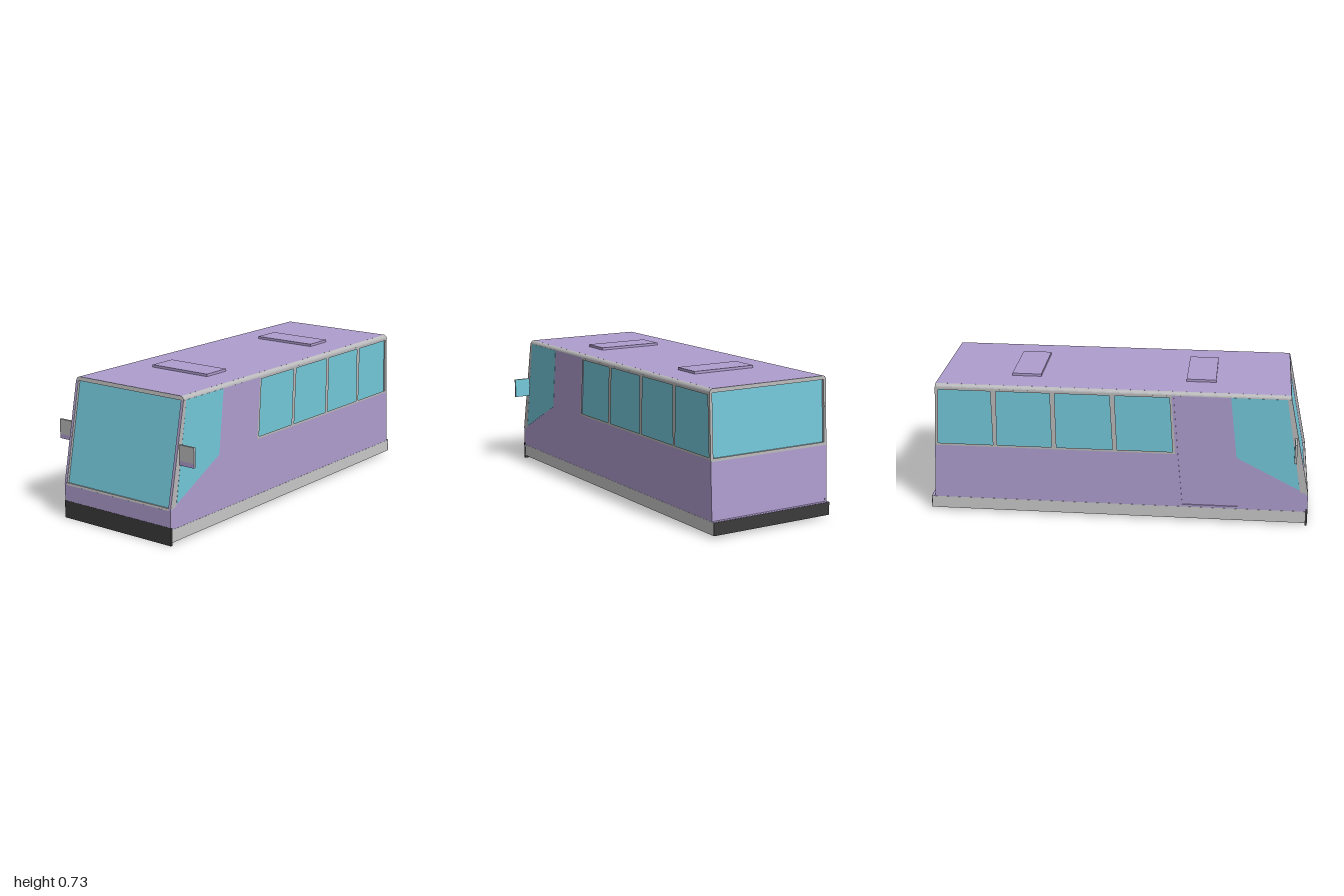
import * as THREE from 'three';

const mat = (name, color, side = THREE.FrontSide) => {
  const m = new THREE.MeshStandardMaterial({ color, side });
  m.name = name;
  return m;
};

export function createModel() {
  const purple = mat('purple paint', 0xae9dce);
  const glass = mat('cyan glass', 0x74c8da);
  const frameGrey = mat('frame grey', 0xb9b9bb);
  const sillGrey = mat('sill grey', 0xc8c8c8);
  const dark = mat('bumper black', 0x3b3b3b);
  const floorGrey = mat('front floor grey', 0xaaaeb0);

  const bus = new THREE.Group();
  bus.name = 'bus';
  const W = 0.35, T = 0.012, TOP = 0.72;

  const add = (name, geo, material, parent = bus) => {
    const m = new THREE.Mesh(geo, material);
    m.name = name;
    parent.add(m);
    return m;
  };
  // Box given by its limits on each axis
  const box = (name, x0, x1, y0, y1, z0, z1, material, parent) => {
    const m = add(name, new THREE.BoxGeometry(x1 - x0, y1 - y0, z1 - z0), material, parent);
    m.position.set((x0 + x1) / 2, (y0 + y1) / 2, (z0 + z1) / 2);
    return m;
  };
  const poly = (pts, holes = []) => {
    const s = new THREE.Shape(pts.map(p => new THREE.Vector2(...p)));
    for (const h of holes) s.holes.push(new THREE.Path(h.map(p => new THREE.Vector2(...p))));
    return s;
  };
  const extrude = (shape, depth) =>
    new THREE.ExtrudeGeometry(shape, { depth, bevelEnabled: false, curveSegments: 6 });
  // Plate drawn in (z, y), filling x from x0 to x1
  const sidePlate = (name, shape, x0, x1, material) => {
    const g = extrude(shape, x1 - x0);
    g.rotateY(-Math.PI / 2);
    g.translate(x1, 0, 0);
    return add(name, g, material);
  };

  // Glazed inner body, showing through every window opening
  sidePlate('windowGlass', poly([[0.985, 0.08], [0.985, 0.18], [0.878, 0.709], [-0.938, 0.709], [-0.967, 0.08]]),
    -W + T, W - T, glass);

  // Side walls
  const windows = [
    [[0.29, 0.39], [0, 0.39], [-0.013, 0.69], [0.27, 0.69]],
    [[-0.024, 0.39], [-0.319, 0.39], [-0.324, 0.69], [-0.04, 0.69]],
    [[-0.345, 0.39], [-0.635, 0.39], [-0.63, 0.69], [-0.35, 0.69]],
    [[-0.656, 0.39], [-0.95, 0.39], [-0.935, 0.69], [-0.66, 0.69]],
  ];
  const band = poly([[0.305, 0.378], [-0.966, 0.378], [-0.951, 0.701], [0.28, 0.701]], windows);
  const wall = [[1, 0.08], [1, 0.18], [0.894, 0.701], [0.28, 0.701], [0.305, 0.378], [-0.966, 0.378], [-0.98, 0.08]];
  const door = [[0.345, 0.092], [0.64, 0.092], [0.608, 0.37], [0.575, 0.69], [0.292, 0.69], [0.318, 0.37]];
  const cabGlass = poly([[0.955, 0.2], [0.872, 0.701], [0.585, 0.701], [0.622, 0.372]]);
  const pillar = poly([[1, 0.18], [0.894, 0.701], [0.872, 0.701], [0.958, 0.19]]);
  for (const s of [1, -1]) {
    const side = s > 0 ? 'left' : 'right';
    const plate = (name, shape, inner, outer, material) =>
      sidePlate(side + name, shape, s > 0 ? inner : -outer, s > 0 ? outer : -inner, material);
    plate('Wall', poly(wall, s < 0 ? [door] : []), W - T, W, purple);
    plate('WindowFrame', band, W - T, W, frameGrey);
    plate('CabWindow', cabGlass, W - 0.002, W + 0.001, glass);
    plate('FrontPillar', pillar, W - 0.002, W + 0.001, frameGrey);
    if (s < 0) plate('Door', poly(door), W - T - 0.002, W - 0.006, purple);

    // Rounded roof rail
    const rail = new THREE.Shape();
    rail.moveTo(0.33, 0.7);
    rail.lineTo(W, 0.7);
    rail.absarc(0.33, 0.7, 0.02, 0, Math.PI / 2, false);
    rail.lineTo(0.33, 0.7);
    const railGeo = extrude(rail, 1.84);
    if (s < 0) {
      railGeo.rotateY(Math.PI);
      railGeo.translate(0, 0, 0.89);
    } else railGeo.translate(0, 0, -0.95);
    add(side + 'RoofRail', railGeo, frameGrey);

    // Wing mirror: grey shell, purple lower lip, glass facing back
    const mirror = new THREE.Group();
    mirror.name = side + 'Mirror';
    const x0 = s > 0 ? W - 0.005 : -0.44, x1 = s > 0 ? 0.44 : -W + 0.005;
    const faces = front => [frameGrey, frameGrey, frameGrey, purple, front, glass];
    box('mirrorShell', x0, x1, 0.413, 0.492, 0.918, 0.93, faces(frameGrey), mirror);
    box('mirrorLip', x0, x1, 0.39, 0.413, 0.918, 0.93, faces(purple), mirror);
    bus.add(mirror);
  }

  // Roof and its two hatches
  box('roof', -0.332, 0.332, TOP - T, TOP, -0.948, 0.888, purple);
  for (const z of [0.425, -0.495])
    box('roofHatch', -0.18, 0.18, TOP - 0.002, 0.733, z - 0.077, z + 0.077, purple);

  // Leaning end frame with rounded top corners and one window opening
  const endFrame = (name, y0, z0, z1, border) => {
    const rise = TOP - y0, lean = Math.abs(z0 - z1), len = Math.hypot(rise, lean), r = 0.02;
    const s = new THREE.Shape();
    s.moveTo(-W, 0);
    s.lineTo(W, 0);
    s.lineTo(W, len - r);
    s.absarc(W - r, len - r, r, 0, Math.PI / 2, false);
    s.absarc(-W + r, len - r, r, Math.PI / 2, Math.PI, false);
    const h = [[-0.335, border], [0.335, border], [0.335, len - r], [-0.335, len - r]];
    s.holes.push(new THREE.Path(h.map(p => new THREE.Vector2(...p))));
    const g = extrude(s, T);
    g.translate(0, 0, -T);
    g.rotateX(-Math.atan2(lean, rise));
    g.translate(0, y0, Math.abs(z0));
    if (z0 < 0) g.rotateY(Math.PI);
    add(name, g, frameGrey);
  };
  endFrame('windscreenFrame', 0.175, 1, 0.89, 0.013);
  endFrame('rearWindowFrame', 0.37, -0.9664, -0.95, 0.015);

  // Painted panels below the windscreen and the rear window
  box('frontPanel', -W, W, 0.08, 0.176, 0.98, 1, purple);
  sidePlate('rearPanel', poly([[-0.98, 0.078], [-0.9664, 0.37], [-0.95, 0.37], [-0.95, 0.078]]), -W, W, purple);

  // Sill, floor and bumpers
  box('sill', -W - 0.001, W + 0.001, 0.015, 0.08, -0.996, 0.99, sillGrey);
  box('rearLedge', -W, W, 0.079, 0.082, -0.998, -0.95, purple);
  box('frontFloor', -W + 0.005, W - 0.005, 0.012, 0.016, 0.67, 0.99, floorGrey);
  box('frontBumper', -W - 0.002, W + 0.002, 0, 0.092, 0.99, 1.001, dark);
  box('rearBumper', -W - 0.001, W + 0.001, 0.015, 0.08, -1, -0.996, dark);

  return bus;
}
